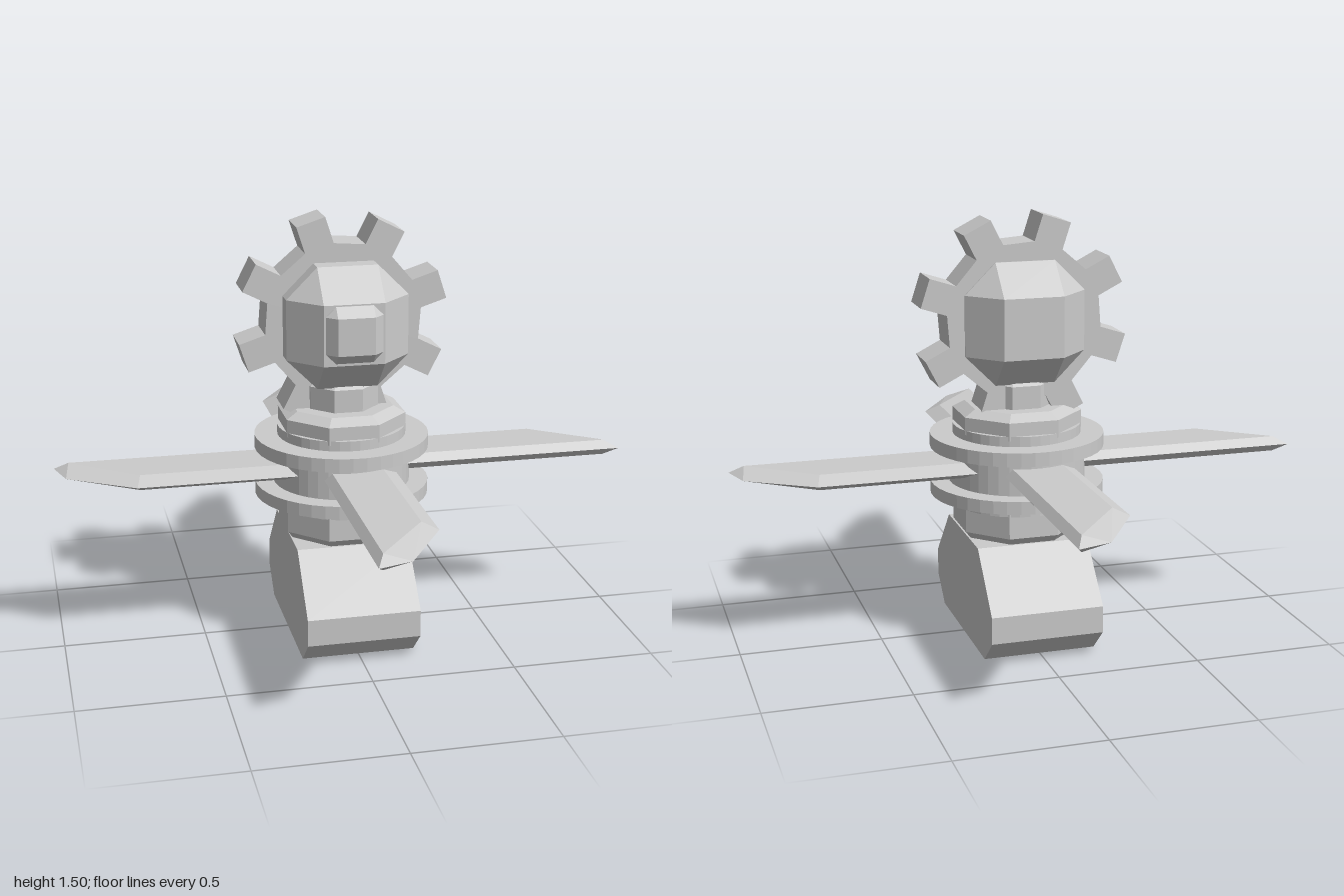
import * as THREE from 'three';
import { ConvexGeometry } from 'three/addons/geometries/ConvexGeometry.js';

const material = new THREE.MeshStandardMaterial({ color: 0xcccccc, flatShading: true });

function add(parent, name, geometry) {
  const mesh = new THREE.Mesh(geometry, material);
  mesh.name = name;
  parent.add(mesh);
  return mesh;
}

// Turned part from [radius, y] pairs, bottom to top; radius is measured to the flats
function turned(profile, sides) {
  const k = 1 / Math.cos(Math.PI / sides);
  const points = profile.map(([r, y]) => new THREE.Vector2(r * k, y));
  return new THREE.LatheGeometry(points, sides, Math.PI / sides);
}

// Cube with all edges and corners cut off
function cutCube(half, flat) {
  const points = [];
  for (const sx of [-1, 1]) for (const sy of [-1, 1]) for (const sz of [-1, 1]) {
    points.push(
      new THREE.Vector3(sx * half, sy * flat, sz * flat),
      new THREE.Vector3(sx * flat, sy * half, sz * flat),
      new THREE.Vector3(sx * flat, sy * flat, sz * half));
  }
  return new ConvexGeometry(points);
}

// Blade pointing to +z: a sharp rim with smaller flat faces above and below
function bladeGeometry() {
  const rim = [[-0.105, 0.1], [0.155, 0.1], [0.155, 0.735], [0.01, 0.965], [-0.105, 1]];
  const face = [[-0.08, 0.1], [0.1, 0.1], [0.1, 0.72], [-0.08, 0.95]];
  const points = rim.map(([x, z]) => new THREE.Vector3(x, 0, z));
  for (const y of [-0.027, 0.027]) {
    for (const [x, z] of face) points.push(new THREE.Vector3(x, y, z));
  }
  return new ConvexGeometry(points);
}

// Gear outline with eight parallel-sided teeth
function gearGeometry() {
  const shape = new THREE.Shape();
  const root = 0.27, tip = 0.365, halfWidth = 0.052, teeth = 8;
  for (let i = 0; i < teeth; i++) {
    const a = THREE.MathUtils.degToRad(18) + (i * Math.PI * 2) / teeth;
    const c = Math.cos(a), s = Math.sin(a);
    for (const [r, w] of [[root, -halfWidth], [tip, -halfWidth], [tip, halfWidth], [root, halfWidth]]) {
      const x = r * c - w * s, y = r * s + w * c;
      if (i === 0 && r === root && w < 0) shape.moveTo(x, y);
      else shape.lineTo(x, y);
    }
  }
  shape.closePath();
  return new THREE.ExtrudeGeometry(shape, { depth: 0.14, bevelEnabled: false });
}

export function createModel() {
  const model = new THREE.Group();
  model.name = 'bladedSentry';

  // Foot: side profile extruded across x
  const profile = [[-0.28, 0], [0.28, 0], [0.375, 0.09], [0.375, 0.185],
    [0.2, 0.375], [-0.2, 0.375], [-0.375, 0.185], [-0.375, 0.09]];
  const footShape = new THREE.Shape(profile.map(([z, y]) => new THREE.Vector2(z, y)));
  const foot = new THREE.ExtrudeGeometry(footShape, { depth: 0.396, bevelEnabled: false });
  foot.translate(0, 0, -0.198).rotateY(Math.PI / 2);
  add(model, 'foot', foot);

  // Eight-sided collars and neck
  add(model, 'lowerCollar', turned([[0, 0.373], [0.19, 0.373], [0.21, 0.4], [0.21, 0.49], [0, 0.49]], 8));
  add(model, 'upperCollar', turned([[0, 0.75], [0.21, 0.75], [0.21, 0.812], [0.17, 0.835], [0, 0.835]], 8));
  add(model, 'neck', turned([[0, 0.82], [0.12, 0.82], [0.12, 0.915], [0.09, 0.94], [0, 0.94]], 8));

  // Round hub with two flanges
  add(model, 'hub', turned([[0, 0.48], [0.225, 0.48], [0.225, 0.515], [0.305, 0.515], [0.305, 0.56],
    [0.24, 0.56], [0.24, 0.682], [0.305, 0.682], [0.305, 0.73], [0.225, 0.73], [0.225, 0.765], [0, 0.765]], 40));

  // Four blades around the hub
  const blades = new THREE.Group();
  blades.name = 'blades';
  const blade = bladeGeometry();
  for (let i = 0; i < 4; i++) {
    const mesh = add(blades, 'blade', blade);
    mesh.position.y = 0.628;
    mesh.rotation.y = (i * Math.PI) / 2;
  }
  model.add(blades);

  // Head, eye and gear
  add(model, 'head', cutCube(0.212, 0.105)).position.y = 1.133;
  add(model, 'eye', cutCube(0.098, 0.064)).position.set(0, 1.135, 0.15);
  add(model, 'gear', gearGeometry()).position.set(0, 1.138, -0.1);

  return model;
}
